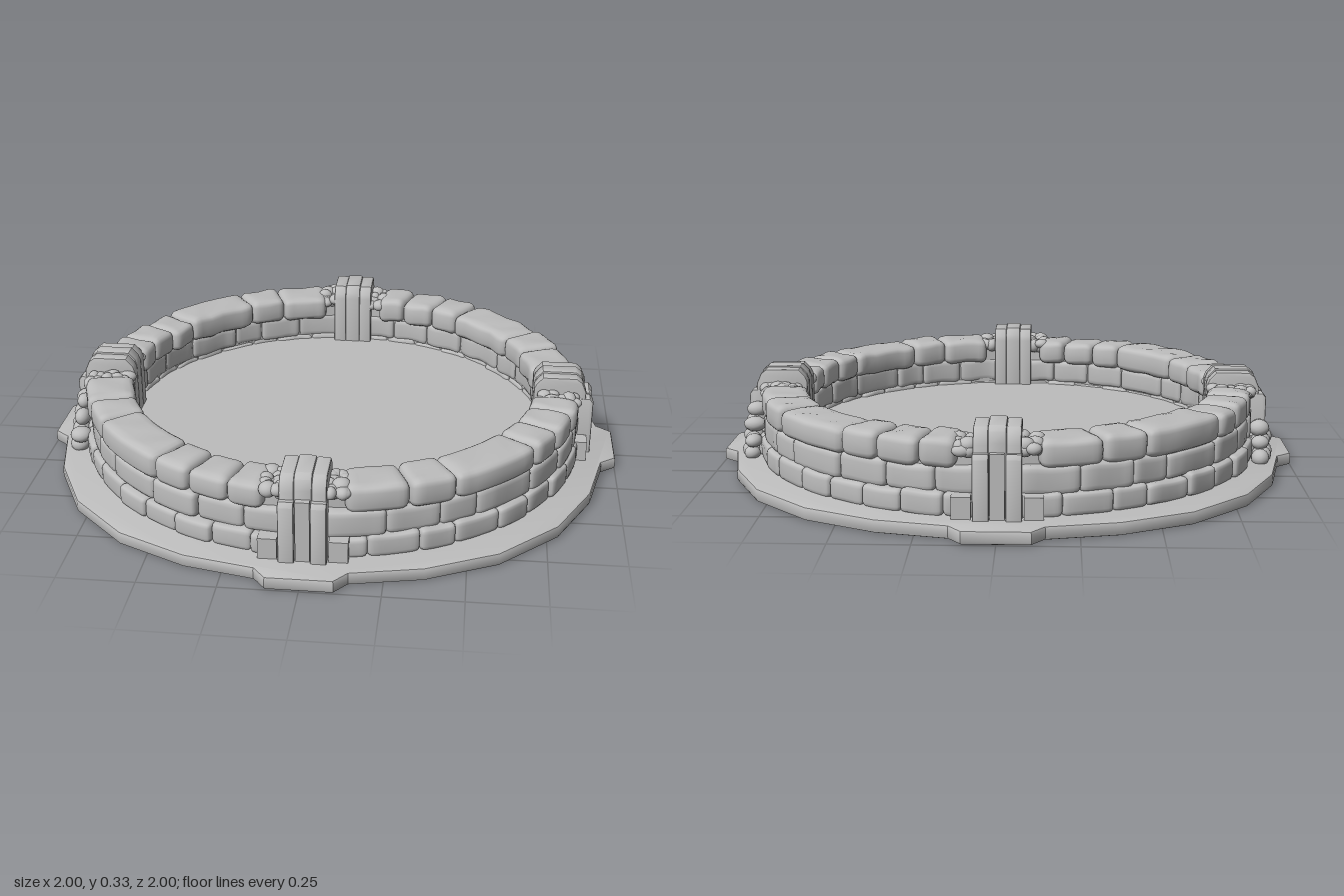
import * as THREE from 'three';
import { mergeVertices, toCreasedNormals } from 'three/addons/utils/BufferGeometryUtils.js';

const stone = new THREE.MeshStandardMaterial({ color: 0xbdbdbd });
stone.name = 'grey stone';

let seed = 7;
const rnd = () => (seed = (seed * 16807) % 2147483647) / 2147483647;
const vary = (amount) => (rnd() - 0.5) * 2 * amount;

function add(parent, name, geometry) {
  const mesh = new THREE.Mesh(geometry, stone);
  mesh.name = name;
  parent.add(mesh);
  return mesh;
}

// Weld and smooth a geometry after its vertices were moved
function smooth(geometry) {
  geometry.deleteAttribute('uv');
  geometry.deleteAttribute('normal');
  const welded = mergeVertices(geometry, 1e-5);
  welded.computeVertexNormals();
  return welded;
}

// Rounded, slightly uneven block bent around the ring between angles a0 and a1
function bentStone(a0, a1, y0, y1, r0, r1, round) {
  const mid = (r0 + r1) / 2;
  const half = new THREE.Vector3((a1 - a0) * mid / 2, (y1 - y0) / 2, (r1 - r0) / 2);
  const geometry = new THREE.BoxGeometry(2, 2, 2, 10, 6, 6);
  const pos = geometry.attributes.position;
  const p = new THREE.Vector3(), core = new THREE.Vector3();
  const inner = half.clone().subScalar(round), outer = inner.clone().negate();
  const spread = (s) => Math.sign(s) * Math.pow(Math.abs(s), 0.6);
  const phase = rnd() * 6;
  for (let i = 0; i < pos.count; i++) {
    p.fromBufferAttribute(pos, i);
    p.set(spread(p.x), spread(p.y), spread(p.z)).multiply(half);
    core.copy(p).clamp(outer, inner);
    p.sub(core).setLength(round).add(core);
    const wave = 0.003 * Math.sin(p.x * 45 + phase) * Math.cos(p.z * 40 + phase);
    const a = (a0 + a1) / 2 + p.x / mid;
    const r = mid + p.z + wave;
    pos.setXYZ(i, r * Math.sin(a), (y0 + y1) / 2 + p.y + wave, r * Math.cos(a));
  }
  return smooth(geometry);
}

// Lumpy pebble
function pebble(radius) {
  const geometry = new THREE.IcosahedronGeometry(radius, 2);
  geometry.scale(1 + vary(0.2), 0.85 + vary(0.15), 1 + vary(0.2));
  return smooth(geometry);
}

// Round base plate with four tabs
function basePlate() {
  const quarter = [[-0.1, 0.99], [0.1, 0.99], [0.14, 0.94], [0.37, 0.89], [0.595, 0.78],
    [0.78, 0.595], [0.89, 0.37], [0.94, 0.14]];
  const points = [];
  for (let q = 0; q < 4; q++) {
    for (const [x, y] of quarter) {
      points.push(new THREE.Vector2(x, y).rotateAround(new THREE.Vector2(), -q * Math.PI / 2));
    }
  }
  const geometry = new THREE.ExtrudeGeometry(new THREE.Shape(points), {
    depth: 0.025, bevelEnabled: true, bevelSize: 0.01, bevelThickness: 0.01, bevelSegments: 2,
  });
  geometry.rotateX(-Math.PI / 2).translate(0, 0.01, 0);
  return toCreasedNormals(geometry, 0.6);
}

// Slab with an arch-like profile in (radius, height), straddling the wall
function strap(profile, width, x) {
  const shape = new THREE.Shape(profile.map(([r, y]) => new THREE.Vector2(r, y)));
  const geometry = new THREE.ExtrudeGeometry(shape, {
    depth: width - 0.012, bevelEnabled: true, bevelSize: 0.006, bevelThickness: 0.006,
    bevelOffset: -0.006, bevelSegments: 2,
  });
  geometry.translate(0, 0, -(width - 0.012) / 2).rotateY(-Math.PI / 2).translate(x, 0, 0);
  return toCreasedNormals(geometry, 0.7);
}

function box(w, h, d, x, y, z) {
  return new THREE.BoxGeometry(w, h, d).translate(x, y, z);
}

// One buttress, built at +z
function buttress() {
  const group = new THREE.Group();
  group.name = 'buttress';
  const profile = (top, out) => [[0.705, 0.06], [0.705, 0.28], [0.712, top - 0.025], [0.735, top],
    [0.85, top], [0.87, top - 0.015], [out, top - 0.05], [out, 0.03]];
  add(group, 'middleBand', strap(profile(0.328, 0.88), 0.056, 0));
  for (const side of [-1, 1]) {
    add(group, 'sideBand', strap(profile(0.323, 0.885), 0.046, side * 0.05));
    add(group, 'sidePost', strap([[0.84, 0.03], [0.84, 0.25], [0.9, 0.25], [0.912, 0.235],
      [0.912, 0.03]], 0.05, side * 0.05));
    add(group, 'footBlock', box(0.06, 0.075, 0.08, side * 0.11, 0.0775, 0.855));
    // Crumbled stone on the wall beside the buttress
    for (let i = 0; i < 16; i++) {
      const lump = add(group, 'rubble', pebble(0.02 + rnd() * 0.008));
      lump.position.set(side * (0.08 + (i % 2) * 0.035 + vary(0.01)), 0.257 + vary(0.012),
        0.73 + (i >> 1) * 0.017 + vary(0.008));
    }
  }
  add(group, 'frontPost', box(0.045, 0.21, 0.05, 0, 0.145, 0.875));
  return group;
}

// Heap of boulders against the wall; z0 and z1 bound it, side is the sign of x
function boulderPile(side, z0, z1, height) {
  const group = new THREE.Group();
  group.name = 'boulderPile';
  const columns = 4;
  for (let c = 0; c < columns; c++) {
    const t = c / (columns - 1);
    const top = height * (0.55 + 0.45 * (1 - t));
    for (let y = 0.06; y < top; y += 0.042) {
      const rock = add(group, 'boulder', pebble(0.029 + rnd() * 0.006));
      const z = z0 + (z1 - z0) * t + vary(0.008);
      const r = 0.905 - (y - 0.06) * 0.15;
      rock.position.set(side * Math.sqrt(r * r - z * z), y, z);
    }
  }
  return group;
}

export function createModel() {
  const model = new THREE.Group();
  model.name = 'stoneBasin';
  add(model, 'basePlate', basePlate());

  // Basin floor
  add(model, 'floor', new THREE.CylinderGeometry(0.76, 0.76, 0.06, 64).translate(0, 0.07, 0));

  // Mortar behind the stones
  const mortar = [[0.745, 0.03], [0.835, 0.03], [0.835, 0.245], [0.745, 0.245], [0.745, 0.03]];
  add(model, 'mortar', toCreasedNormals(
    new THREE.LatheGeometry(mortar.map(([r, y]) => new THREE.Vector2(r, y)), 64), 0.6));

  // Courses of stones: joints are degrees within a quarter
  const courses = [
    { name: 'footStone', joints: [4, 13, 24, 32, 43, 52, 61, 70, 79, 86], y: [0.04, 0.115], r: [0.735, 0.878], round: 0.018 },
    { name: 'wallStone', joints: [4, 17, 29, 38, 54, 66, 77, 86], y: [0.107, 0.197], r: [0.735, 0.862], round: 0.02 },
    { name: 'capStone', joints: [8.5, 22, 32.5, 55, 64, 73.5, 81.5], y: [0.188, 0.28], r: [0.708, 0.867], round: 0.03 },
  ];
  for (const { name, joints, y, r, round } of courses) {
    const ring = new THREE.Group();
    ring.name = name + 'Ring';
    model.add(ring);
    for (let q = 0; q < 4; q++) {
      for (let i = 0; i < joints.length - 1; i++) {
        const [a0, a1] = [joints[i], joints[i + 1]].map((d) => THREE.MathUtils.degToRad(d + q * 90));
        add(ring, name, bentStone(a0 - 0.002, a1 + 0.002, y[0], y[1] + vary(0.005),
          r[0] + vary(0.005), r[1] + vary(0.006), round));
      }
    }
  }

  // Four buttresses
  for (let q = 0; q < 4; q++) {
    const b = buttress();
    b.rotation.y = q * Math.PI / 2;
    model.add(b);
  }

  // Boulders by the side buttresses
  model.add(boulderPile(1, -0.1, -0.22, 0.19));
  model.add(boulderPile(-1, 0.1, 0.23, 0.22));
  model.add(boulderPile(-1, -0.1, -0.22, 0.17));
  return model;
}
